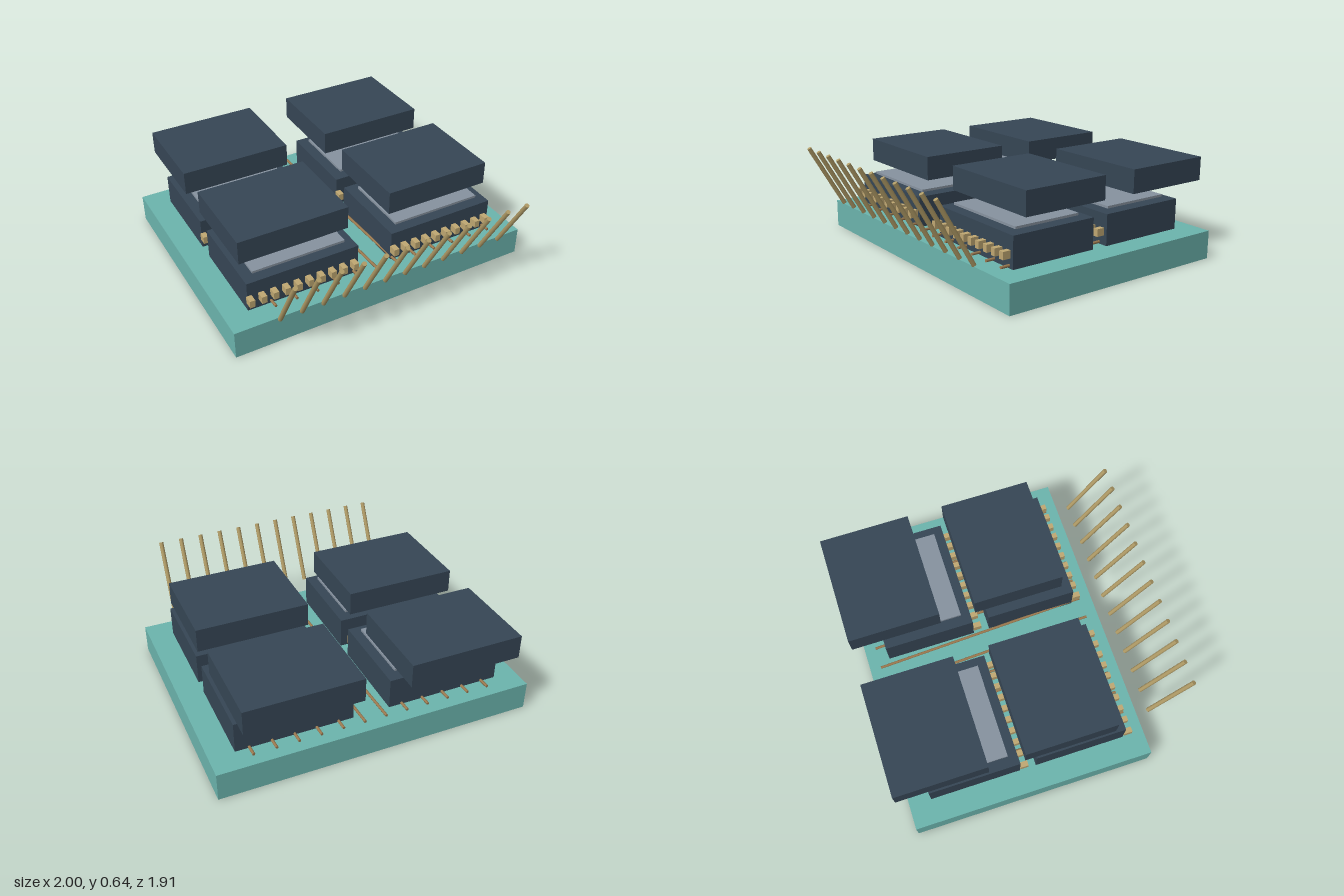
import * as THREE from 'three';

const material = (name, color) => {
  const m = new THREE.MeshStandardMaterial({ color });
  m.name = name;
  return m;
};

export function createModel() {
  const group = new THREE.Group();
  const teal = material('teal', 0x6cb5ae);
  const slate = material('slate', 0x364655);
  const silver = material('silver', 0x8793a0);
  const gold = material('gold', 0xc0a872);
  const brass = material('brass', 0xb09b66);
  const copper = material('copper', 0x9c7a50);

  // Box given by its minimum and maximum corners
  const box = (name, mat, x0, x1, y0, y1, z0, z1) => {
    const mesh = new THREE.Mesh(new THREE.BoxGeometry(x1 - x0, y1 - y0, z1 - z0), mat);
    mesh.position.set((x0 + x1) / 2, (y0 + y1) / 2, (z0 + z1) / 2);
    mesh.name = name;
    group.add(mesh);
  };

  // Straight faceted rod between two points
  const rod = (name, mat, a, b, radius) => {
    const dir = b.clone().sub(a);
    const geo = new THREE.CylinderGeometry(radius, radius, dir.length(), 8);
    const mesh = new THREE.Mesh(geo, mat);
    mesh.position.copy(a).add(b).multiplyScalar(0.5);
    mesh.quaternion.setFromUnitVectors(new THREE.Vector3(0, 1, 0), dir.normalize());
    mesh.name = name;
    group.add(mesh);
  };

  // Base board
  box('baseBoard', teal, -1, 1, 0, 0.18, -0.9, 0.645);

  // Four exploded modules: body, floating plate, lid and contacts
  for (const dx of [0, 0.965]) {
    for (const dz of [0, -0.685]) {
      box('moduleBody', slate, -0.85 + dx, -0.12 + dx, 0.18, 0.375, -0.075 + dz, 0.505 + dz);
      box('modulePlate', silver, -0.785 + dx, -0.18 + dx, 0.385, 0.4, -0.01 + dz, 0.445 + dz);
      const lz = dz ? -0.805 : 0;
      box('moduleLid', slate, -0.855 + dx * 1.033, -0.145 + dx * 1.033, 0.465, 0.615, -0.153 + lz, 0.425 + lz);
      for (let i = 0; i < 10; i++) {
        const x = -0.84 + dx + i * 0.0756;
        box('contact', gold, x - 0.017, x + 0.017, 0.24, 0.287, 0.505 + dz, 0.557 + dz);
      }
    }
  }

  // Traces running the length of the board, and the leaning pins in front
  for (let i = 0; i < 12; i++) {
    const x = -0.7 + i * 0.1375;
    rod('trace', copper, new THREE.Vector3(x - 0.055, 0.188, -0.83),
      new THREE.Vector3(x, 0.197, 0.565), 0.009);
    const px = -0.755 + i * 0.138;
    rod('pin', brass, new THREE.Vector3(px + 0.01, 0.232, 0.712),
      new THREE.Vector3(px, 0.63, 0.938), 0.0145);
  }
  return group;
}
